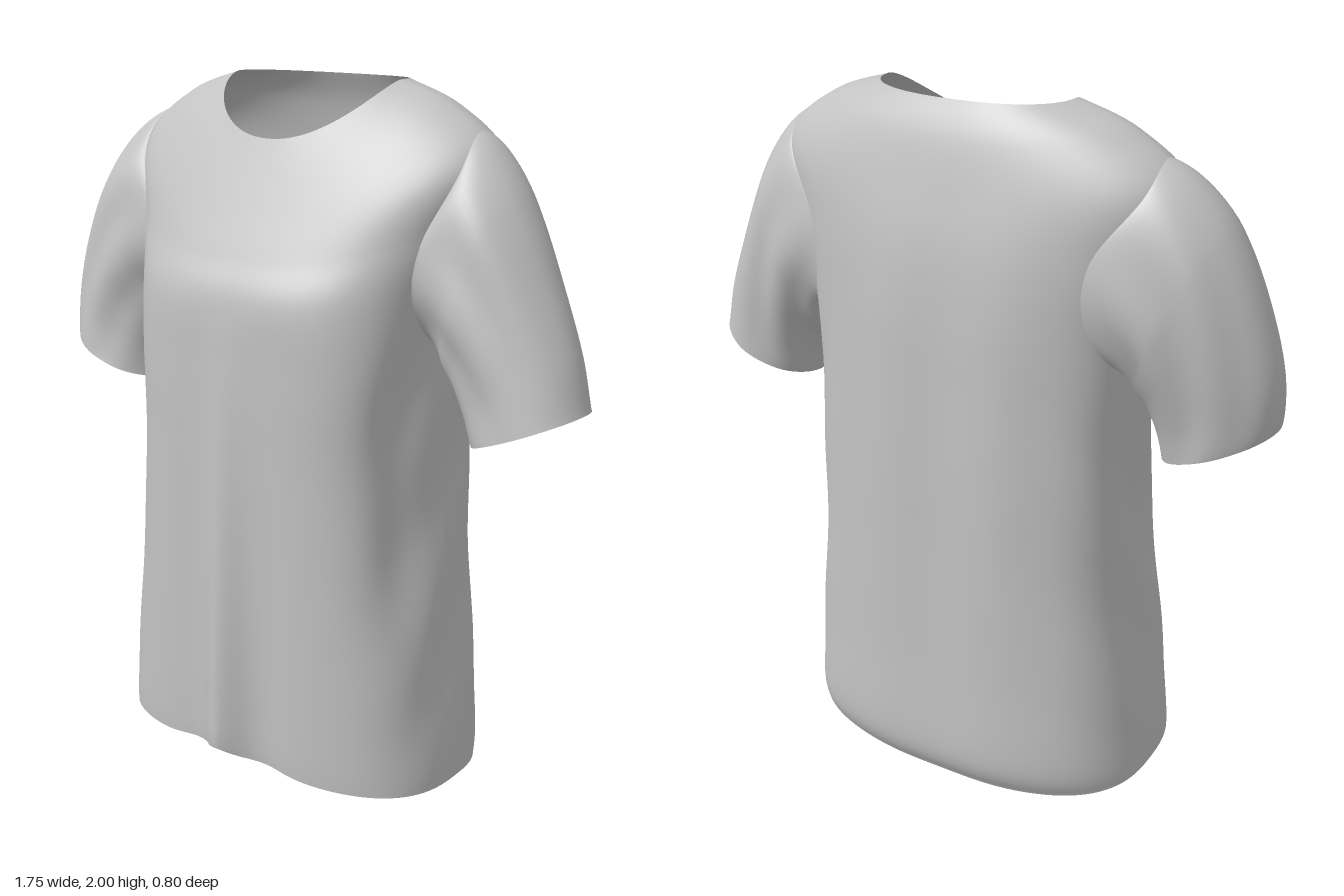
import * as THREE from 'three';

const cloth = new THREE.MeshStandardMaterial({ color: 0xc2c2c2, side: THREE.DoubleSide });
cloth.name = 'grey cloth';

// Smoothly blends a list of number rows at t in 0..1
function sampleRows(rows, t) {
  const f = t * (rows.length - 1), i = Math.min(Math.floor(f), rows.length - 2), u = f - i;
  const row = k => rows[Math.max(0, Math.min(rows.length - 1, k))];
  return rows[0].map((_, c) => {
    const [a, b, d, e] = [row(i - 1)[c], row(i)[c], row(i + 1)[c], row(i + 2)[c]];
    return b + 0.5 * u * (d - a + u * (2 * a - 5 * b + 4 * d - e + u * (3 * (b - d) + e - a)));
  });
}

// Skins closed rings given by point(t, angle), leaving out cells where hole(t, angle) is true
function loft(name, point, rings, segs, flip, hole = () => false) {
  const pos = [], index = [], turn = (Math.PI * 2) / segs;
  for (let i = 0; i <= rings; i++)
    for (let j = 0; j < segs; j++) pos.push(...point(i / rings, j * turn));
  for (let i = 0; i < rings; i++)
    for (let j = 0; j < segs; j++) {
      if (hole((i + 0.5) / rings, (j + 0.5) * turn)) continue;
      const k = (j + 1) % segs;
      const a = i * segs + j, b = i * segs + k, c = a + segs, d = b + segs;
      if (flip) index.push(a, b, c, b, d, c);
      else index.push(a, c, b, b, c, d);
    }
  const geo = new THREE.BufferGeometry();
  geo.setAttribute('position', new THREE.Float32BufferAttribute(pos, 3));
  geo.setIndex(index);
  geo.computeVertexNormals();
  const mesh = new THREE.Mesh(geo, cloth);
  mesh.name = name;
  return mesh;
}

const bump = (x, w) => Math.exp(-(x * x) / (w * w));
const clamp01 = v => Math.max(0, Math.min(1, v));

// Body rings: half width, side z, front z, back z, side y, front y, back y, front roundness, back roundness
const bodyRings = [
  [0.555, -0.03, 0.332, -0.36, 0.03, 0.06, 0.0, 2.8, 2.6],
  [0.548, -0.03, 0.336, -0.395, 0.12, 0.15, 0.1, 2.8, 2.6],
  [0.518, -0.04, 0.338, -0.39, 0.38, 0.4, 0.38, 2.9, 2.7],
  [0.482, -0.05, 0.338, -0.385, 0.7, 0.7, 0.7, 3, 2.8],
  [0.468, -0.07, 0.338, -0.38, 1.0, 1.0, 1.0, 3, 2.8],
  [0.468, -0.08, 0.336, -0.373, 1.24, 1.24, 1.24, 3, 2.7],
  [0.48, -0.09, 0.328, -0.366, 1.44, 1.43, 1.44, 2.8, 2.6],
  [0.53, -0.09, 0.28, -0.349, 1.64, 1.54, 1.62, 2.4, 2.5],
  [0.575, -0.09, 0.225, -0.318, 1.825, 1.65, 1.77, 2.1, 2.4],
  [0.44, -0.09, 0.175, -0.282, 1.94, 1.75, 1.905, 2.1, 2.3],
  [0.28, -0.09, 0.13, -0.24, 1.995, 1.84, 1.99, 2.1, 2.3],
];

function bodyPoint(t, a) {
  const [hw, zs, zf, zb, ys, yf, yb, nf, nb] = sampleRows(bodyRings, t);
  const c = Math.cos(a), s = Math.sin(a), front = s > 0, n = front ? nf : nb;
  const r = Math.pow(Math.abs(c) ** n + Math.abs(s) ** n, -1 / n);
  const depth = Math.abs(s * r), x = c * r * hw;
  let y = ys + ((front ? yf : yb) - ys) * depth ** 1.6;
  let z = zs + ((front ? zf : zb) - zs) * depth;
  let spread = 0;
  const drape = clamp01((1.4 - y) / 1.25), loose = clamp01((1.85 - y) / 0.4);
  if (front) {
    // centre pleat with shallow valleys beside it, lifted at the hem
    z += depth * drape * (0.064 * bump(x, 0.06) - 0.012 * bump(Math.abs(x) - 0.14, 0.07));
    y += (0.035 * bump(x, 0.05) + 0.025 * bump(x, 0.2)) * clamp01(1 - t * 8);
    // hollow below the arm, behind the front panel
    spread -= 0.035 * bump(depth - 0.45, 0.25) * bump(y - 0.95, 0.4);
  } else {
    // soft vertical folds down the back
    z += depth * loose * 0.006 * Math.cos(x * 19 + 0.6) * bump(y - 1.1, 0.8);
  }
  // slanting drag folds at the sides
  const side = (1 - depth) * loose * clamp01(y / 0.3);
  spread += 0.006 * side * Math.sin(y * 13 + z * 16);
  return [x + Math.sign(x) * spread - 0.025, y, z];
}

// Armhole: an oval on the body surface, wider to the back
const hole = { mid: 0.685, tall: 0.155, front: 0.52, back: 0.75 };
const holeReach = s => (s > 0 ? hole.front : hole.back);

function inArmhole(t, a) {
  const s = Math.sin(a), around = Math.atan2(s, Math.abs(Math.cos(a))) / holeReach(s);
  return Math.hypot((t - hole.mid) / hole.tall, around) < 0.93;
}

function armholePoint(a, side) {
  const s = Math.sin(a), around = holeReach(s) * s;
  return bodyPoint(hole.mid + hole.tall * Math.cos(a), side > 0 ? around : Math.PI - around);
}

// Sleeve rings: outer x, outer y, underarm x, underarm y, centre z, half depth
const sleeveRings = [
  [0.53, 1.885, 0.475, 1.31, -0.09, 0.19],
  [0.615, 1.825, 0.48, 1.28, -0.085, 0.19],
  [0.7, 1.68, 0.49, 1.245, -0.075, 0.186],
  [0.778, 1.5, 0.52, 1.2, -0.065, 0.172],
  [0.842, 1.33, 0.545, 1.13, -0.055, 0.158],
  [0.873, 1.19, 0.565, 1.06, -0.045, 0.155],
];

function sleevePoint(t, a, side) {
  const [ox, oy, ix, iy, zc, hz] = sampleRows(sleeveRings, t);
  const c = Math.cos(a), s = Math.sin(a);
  // creases gather towards the underarm
  const fold = 1 + 0.045 * s * s * Math.sin(a * 7 + t * 5) * Math.sin(Math.PI * clamp01(t * 0.8 + 0.15));
  // the right sleeve billows out a little more and swings forward
  const billow = side < 0 ? 0.04 * Math.sin(Math.PI * t) * (1 + c) / 2 : 0;
  const swing = side < 0 ? 0.025 * t : 0;
  const tube = [
    side * ((ox + ix) / 2 + ((ox - ix) / 2) * c * fold + billow) - 0.03 + 0.026 * t * t,
    (oy + iy) / 2 + ((oy - iy) / 2) * c * fold,
    zc + hz * s * fold + swing,
  ];
  // the sleeve grows out of the armhole
  const w = THREE.MathUtils.smoothstep(t, 0, 0.35);
  return armholePoint(a, side).map((v, i) => v + (tube[i] - v) * w);
}

export function createModel() {
  const shirt = new THREE.Group();
  shirt.name = 'shirt';
  shirt.add(loft('body', bodyPoint, 80, 160, false, inArmhole));
  for (const side of [1, -1])
    shirt.add(loft(side > 0 ? 'leftSleeve' : 'rightSleeve',
      (t, a) => sleevePoint(t, a, side), 40, 72, side > 0));
  return shirt;
}
